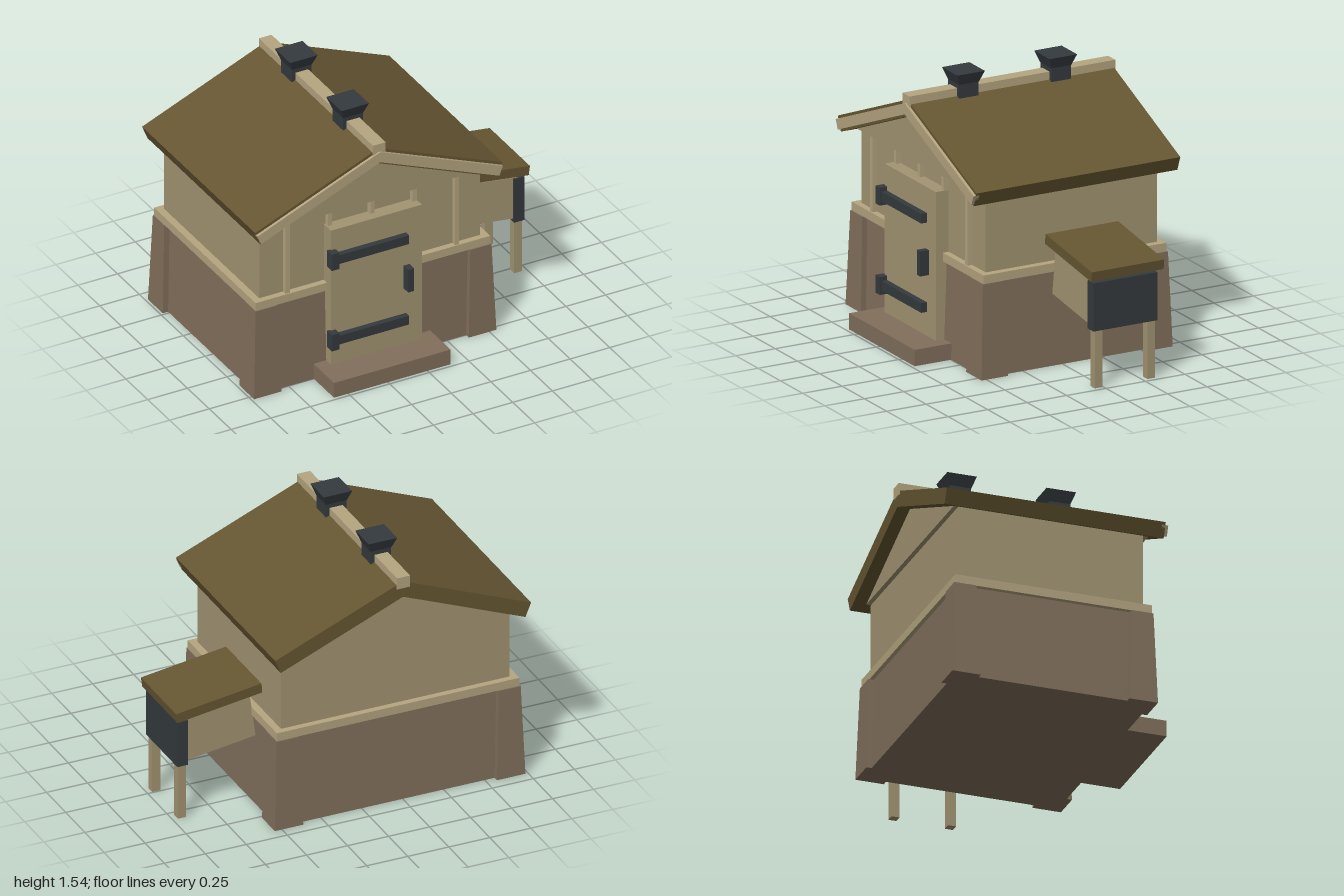
import * as THREE from 'three';

const mat = (color) => new THREE.MeshStandardMaterial({ color, flatShading: true });

export function createModel() {
  const model = new THREE.Group();
  const wall = mat(0xa39572), trim = mat(0xb5a580), stone = mat(0x816f5b);
  const roofing = mat(0x665632), iron = mat(0x343a3d);
  const CX = -0.22, CZ = -0.075; // centre of the hut

  const add = (name, geometry, material) => {
    const mesh = new THREE.Mesh(geometry, material);
    mesh.name = name;
    model.add(mesh);
    return mesh;
  };

  // Box given by its extents
  const box = (name, material, x0, x1, y0, y1, z0, z1) => {
    const mesh = add(name, new THREE.BoxGeometry(x1 - x0, y1 - y0, z1 - z0), material);
    mesh.position.set((x0 + x1) / 2, (y0 + y1) / 2, (z0 + z1) / 2);
    return mesh;
  };

  // Block whose half sizes change from bottom to top
  const taper = (name, material, x, z, y0, y1, bottom, top) => {
    const g = new THREE.BoxGeometry(2, y1 - y0, 2);
    const p = g.attributes.position;
    for (let i = 0; i < p.count; i++) {
      const s = p.getY(i) > 0 ? top : bottom;
      p.setX(i, p.getX(i) * s[0]);
      p.setZ(i, p.getZ(i) * s[1]);
    }
    g.computeVertexNormals();
    const mesh = add(name, g, material);
    mesh.position.set(x, (y0 + y1) / 2, z);
    return mesh;
  };

  // Outline in x, y drawn out from z0 to z1
  const prism = (name, material, points, z0, z1) => {
    const shape = new THREE.Shape(points.map(([x, y]) => new THREE.Vector2(x, y)));
    const g = new THREE.ExtrudeGeometry(shape, { depth: z1 - z0, bevelEnabled: false });
    g.translate(0, 0, z0);
    return add(name, g, material);
  };

  // Stone base with four battered corner blocks
  taper('stoneBase', stone, CX, CZ, 0, 0.55, [0.73, 0.575], [0.71, 0.555]);
  for (const sx of [-1, 1]) {
    for (const sz of [-1, 1]) {
      taper('cornerStone', stone, CX + sx * 0.677, CZ + sz * 0.522, 0, 0.55, [0.087, 0.084], [0.067, 0.065]);
    }
  }
  box('doorStep', stone, -0.59, 0.145, 0, 0.095, 0.42, 0.73);

  // Sill beam, timber walls and gable
  box('sillBeam', trim, CX - 0.74, CX + 0.74, 0.55, 0.6, CZ - 0.58, CZ + 0.58);
  box('walls', wall, CX - 0.697, CX + 0.697, 0.6, 1.04, CZ - 0.543, CZ + 0.543);
  prism('gable', wall, [[CX - 0.697, 1.04], [CX + 0.697, 1.04], [CX, 1.326]], CZ - 0.57, CZ + 0.577);
  for (let i = -2; i <= 2; i++) {
    const x = CX + i * 0.267;
    box('wallPost', trim, x - 0.013, x + 0.013, 0.6, 1.04, 0.46, 0.498);
  }

  // Pitched roof: both layers are chevrons with square-cut eaves
  const chevron = (drop0, drop1) => {
    const ridge = 1.42, slope = 0.41, run = 0.78;
    const end = (drop) => {
      const inset = drop * 0.35;
      return [run - inset, ridge - drop - slope * (run - inset)];
    };
    const [xa, ya] = end(drop0), [xb, yb] = end(drop1);
    return [[CX - xb, yb], [CX, ridge - drop1], [CX + xb, yb], [CX + xa, ya], [CX, ridge - drop0], [CX - xa, ya]];
  };
  prism('roof', roofing, chevron(0, 0.098), -0.72, 0.571);
  prism('bargeBoard', trim, chevron(0.018, 0.083), 0.55, 0.588);
  box('ridgeBeam', trim, CX - 0.04, CX + 0.04, 1.38, 1.45, -0.726, 0.578);

  // Ridge vents with flared caps
  for (const z of [0.215, -0.37]) {
    box('ventShaft', iron, CX - 0.062, CX + 0.062, 1.36, 1.48, z - 0.062, z + 0.062);
    taper('ventCap', iron, CX, z, 1.475, 1.54, [0.063, 0.063], [0.087, 0.087]);
  }

  // Door with strap hinges and handle
  box('door', wall, -0.51, 0.063, 0.095, 0.96, 0.45, 0.55);
  for (const y of [0.262, 0.782]) {
    box('hingeStrap', iron, -0.5, -0.037, y - 0.028, y + 0.028, 0.54, 0.586);
    box('hingeKnuckle', iron, -0.53, -0.482, y - 0.052, y + 0.052, 0.54, 0.597);
  }
  box('doorHandle', iron, -0.053, -0.015, 0.455, 0.6, 0.54, 0.605);

  // Side nest box with sloping lid, end panel and legs
  const tilt = -0.138;
  const nest = box('nestBox', wall, -0.22, 0.22, -0.13, 0.13, -0.19, 0.19);
  nest.position.set(0.73, 0.513, -0.135);
  nest.rotation.z = tilt;
  const lid = box('nestLid', roofing, -0.262, 0.262, -0.029, 0.029, -0.23, 0.23);
  lid.position.set(0.736, 0.697, -0.14);
  lid.rotation.z = tilt;
  box('nestEndPanel', iron, 0.913, 0.978, 0.335, 0.615, -0.34, 0.067);
  for (const z of [0.03, -0.303]) {
    box('nestLeg', wall, 0.92, 0.97, 0, 0.34, z - 0.024, z + 0.024);
  }

  return model;
}
